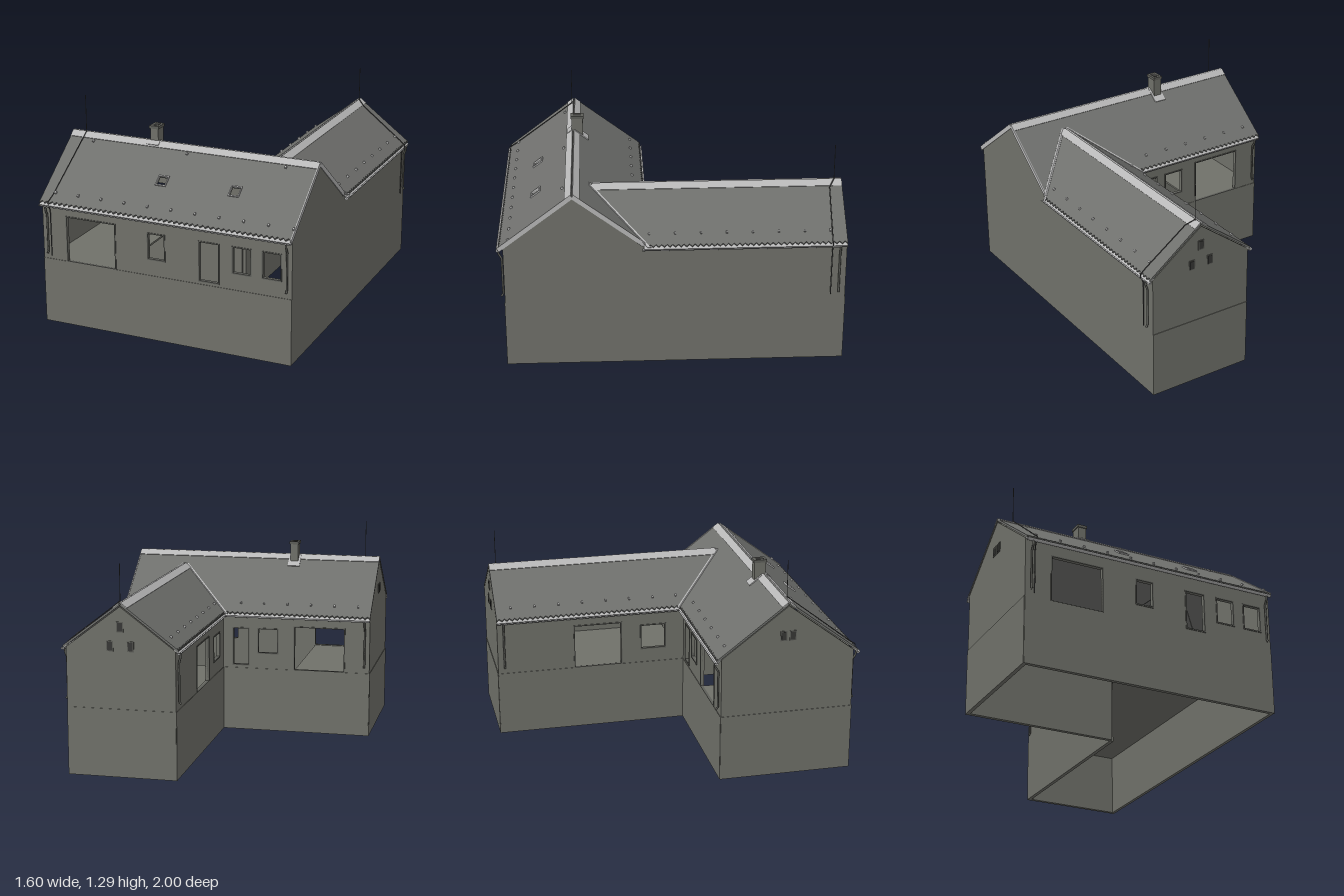
import * as THREE from 'three';

const mat = (name, color, side = THREE.FrontSide) => {
  const m = new THREE.MeshStandardMaterial({ color, side });
  m.name = name;
  return m;
};
const V = (x, y, z) => new THREE.Vector3(x, y, z);
const rect = (a, b, c, d) => [[a, b], [c, b], [c, d], [a, d]];

export function createModel() {
  const house = new THREE.Group();
  house.name = 'house';
  const wallMat = mat('wall grey', 0x70716a);
  const roofMat = mat('roof grey', 0x6f706d);
  const trimMat = mat('light metal', 0xb8b8b8, THREE.DoubleSide);
  const frameMat = mat('frame grey', 0x5e5f5a);
  const darkMat = mat('dark opening', 0x383836);
  const wireMat = mat('wire grey', 0x4a4a4a);

  const add = (name, geo, m) => {
    const mesh = new THREE.Mesh(geo, m);
    mesh.name = name;
    house.add(mesh);
    return mesh;
  };
  const box = (name, m, x0, x1, y0, y1, z0, z1) =>
    add(name, new THREE.BoxGeometry(x1 - x0, y1 - y0, z1 - z0), m)
      .position.set((x0 + x1) / 2, (y0 + y1) / 2, (z0 + z1) / 2);

  // A plane is an origin with an along direction u and an upward direction v
  const plane = (o, u, v) => {
    const k = v.length(), vn = v.clone().normalize();
    const n = u.clone().cross(vn);
    return { k, n, m: new THREE.Matrix4().makeBasis(u, vn, n).setPosition(o) };
  };
  // Flat slab on a plane: outline, holes, height above the plane, thickness
  const panel = (name, m, pl, pts, holes = [], off = 0, t = 0.012) => {
    const vec = list => list.map(([a, b]) => new THREE.Vector2(a, b * pl.k));
    const shape = new THREE.Shape(vec(pts));
    shape.holes = holes.map(h => new THREE.Path(vec(h)));
    const geo = new THREE.ExtrudeGeometry(shape, { depth: t, bevelEnabled: false });
    return add(name, geo.translate(0, 0, off).applyMatrix4(pl.m), m);
  };
  const tube = (name, m, pts, r, sides = 8) => {
    const path = new THREE.CurvePath();
    for (let i = 1; i < pts.length; i++) path.add(new THREE.LineCurve3(V(...pts[i - 1]), V(...pts[i])));
    add(name, new THREE.TubeGeometry(path, pts.length * 6, r, sides), m);
  };

  // Walls
  const T = 0.02, up = V(0, 1, 0);
  const front = plane(V(0, 0, 0.96 - T), V(1, 0, 0), up);
  const back = plane(V(0, 0, 0.17 + T), V(-1, 0, 0), up);
  const wingBack = plane(V(0, 0, -1 + T), V(-1, 0, 0), up);
  const right = plane(V(0.762 - T, 0, 0), V(0, 0, -1), up);
  const left = plane(V(-0.8 + T, 0, 0), V(0, 0, 1), up);
  const wingLeft = plane(V(0.125 + T, 0, 0), V(0, 0, 1), up);

  const wall = (name, pl, outline, a, b, openings) => {
    panel(name, wallMat, pl, outline, openings.map(o => rect(...o)), 0, T);
    panel(name + 'Plinth', wallMat, pl, rect(a, 0, b, 0.398), [], T, 0.003);
    for (const [x0, y0, x1, y1] of openings) {
      const w = 0.007;
      panel('openingFrame', frameMat, pl, rect(x0 - w, Math.max(y0 - w, 0.398), x1 + w, y1 + w),
        [rect(x0, y0 + 0.001, x1, y1)], T - 0.012, 0.016);
    }
  };
  wall('frontWall', front, rect(-0.8, 0, 0.762, 0.745), -0.8, 0.762, [
    [-0.64, 0.4, -0.33, 0.67], [-0.115, 0.5, -0.015, 0.65], [0.205, 0.42, 0.32, 0.65],
    [0.41, 0.5, 0.515, 0.65], [0.59, 0.5, 0.695, 0.65]]);
  wall('backWall', back, rect(-0.125, 0, 0.8, 0.745), -0.125, 0.8, [
    [0.33, 0.4, 0.64, 0.67], [0.1, 0.5, 0.22, 0.65], [-0.06, 0.42, 0.035, 0.65]]);
  wall('wingLeftWall', wingLeft, rect(-1, 0, 0.17, 0.74), -1, 0.17, [
    [-0.52, 0.4, -0.23, 0.67], [-0.1, 0.49, 0.05, 0.64]]);
  wall('leftGable', left, [[0.17, 0], [0.96, 0], [0.96, 0.75], [0.5625, 1.05], [0.17, 0.755]], 0.17, 0.96, []);
  wall('wingGable', wingBack,
    [[-0.762, 0], [-0.125, 0], [-0.125, 0.745], [-0.445, 0.985], [-0.762, 0.745]], -0.762, -0.125, []);
  panel('rightWall', wallMat, right,
    [[-0.96, 0], [1, 0], [1, 0.745], [-0.17, 0.745], [-0.5625, 1.05], [-0.96, 0.75]], [], 0, T);

  // Attic openings in the gables
  const attic = (pl, x, y) => {
    panel('atticFrame', frameMat, pl, rect(x - 0.02, y - 0.03, x + 0.02, y + 0.03), [], T, 0.003);
    panel('atticWindow', darkMat, pl, rect(x - 0.014, y - 0.024, x + 0.014, y + 0.024), [], T, 0.005);
  };
  [[-0.505, 0.76], [-0.385, 0.76], [-0.445, 0.87]].forEach(([x, y]) => attic(wingBack, x, y));
  [0.535, 0.59].forEach(z => attic(left, z, 0.87));

  // Floors and a low counter inside
  box('wingFloor', wallMat, 0.14, 0.745, 0.385, 0.397, -0.985, 0.17);
  box('passageFloor', wallMat, -0.785, -0.33, 0.385, 0.397, 0.185, 0.945);
  box('counter', trimMat, 0.36, 0.74, 0.4, 0.54, 0.2, 0.21);

  // Roof planes: coordinates are distance along the eave and plan distance from it
  const E = 0.738, S = 0.757, RM = 0.4225, RW = 0.336;
  const roofs = {
    front: plane(V(0, E, 0.985), V(1, 0, 0), V(0, S, -1)),
    back: plane(V(0, E, 0.14), V(-1, 0, 0), V(0, S, 1)),
    wingRight: plane(V(0.781, E, 0), V(0, 0, -1), V(-1, S, 0)),
    wingLeft: plane(V(0.109, E, 0), V(0, 0, 1), V(1, S, 0)),
  };
  // Scalloped lower tile edge
  const teeth = (a, b) => {
    const n = Math.round(Math.abs(b - a) / 0.032) * 2;
    return Array.from({ length: n + 1 }, (_, i) => [a + (b - a) * i / n, i % 2 ? 0.016 : 0.004]);
  };
  const skylights = [-0.11, 0.343].map(x => [x - 0.027, 0.19, x + 0.027, 0.235]);
  panel('frontRoof', roofMat, roofs.front, [...teeth(-0.803, 0.762), [0.762, RM], [-0.803, RM]],
    skylights.map(s => rect(...s)));
  panel('backRoof', roofMat, roofs.back,
    [...teeth(0.803, -0.109), [-0.445, RW], [-0.762, 0.02], [-0.762, RM], [0.803, RM]]);
  panel('wingRightRoof', roofMat, roofs.wingRight, [...teeth(-0.14, 1), [1, RW], [-0.476, RW]]);
  panel('wingLeftRoof', roofMat, roofs.wingLeft, [...teeth(0.14, -1), [-1, RW], [0.476, RW]]);

  // Skylight frames
  for (const [a, b, c, d] of skylights)
    panel('skylightFrame', trimMat, roofs.front, rect(a - 0.006, b - 0.006, c + 0.006, d + 0.006),
      [rect(a, b, c, d)], 0.004, 0.016);

  // Ridge caps, eave flashing and verge
  const strips = [['front', -0.803, 0.762, RM], ['back', -0.762, 0.803, RM],
    ['wingRight', -0.45, 1, RW], ['wingLeft', -1, 0.45, RW]];
  for (const [key, a, b, r] of strips)
    panel('ridgeCap', trimMat, roofs[key], rect(a, r - 0.033, b, r + 0.004), [], 0.01, 0.006);
  const eaves = [['front', -0.803, 0.762], ['back', -0.109, 0.803], ['wingRight', -0.16, 1], ['wingLeft', -1, 0.14]];
  for (const [key, a, b] of eaves)
    panel('eaveFlashing', trimMat, roofs[key], rect(a, -0.004, b, 0.024), [], -0.005, 0.006);
  panel('verge', trimMat, roofs.front, rect(0.76, 0, 0.766, RM), [], -0.01, 0.026);
  panel('verge', trimMat, roofs.back, rect(-0.766, 0.02, -0.76, RM), [], -0.01, 0.026);

  // Valley flashing where the wing meets the main roof
  const valley = (key, a, b, r0, w) => panel('valley', trimMat, roofs[key],
    [[a, r0], [b, RW], [b + w, RW], [a + w, r0]], [], 0.01, 0.004);
  valley('back', -0.109, -0.445, 0, 0.02);
  valley('back', -0.762, -0.445, 0.02, -0.02);
  valley('wingLeft', 0.14, 0.476, 0, -0.02);
  valley('wingRight', -0.14, -0.476, 0, 0.02);

  // Half-round gutters
  const gutter = (x0, z0, x1, z1) => {
    const len = Math.hypot(x1 - x0, z1 - z0);
    const g = new THREE.CylinderGeometry(0.012, 0.012, len, 10, 1, true, -Math.PI / 2, Math.PI);
    g.rotateX(Math.PI / 2);
    if (x0 !== x1) g.rotateY(Math.PI / 2);
    add('gutter', g, trimMat).position.set((x0 + x1) / 2, 0.737, (z0 + z1) / 2);
  };
  gutter(-0.803, 0.987, 0.762, 0.987);
  gutter(-0.803, 0.139, 0.109, 0.139);
  gutter(0.782, -1, 0.782, 0.17);
  gutter(0.107, -1, 0.107, 0.139);

  // Downpipes: gutter outlet, offset to the wall, drop, small kick at the foot
  const pipe = (x, z, dx, dz, d) => tube('downpipe', frameMat, [
    [x, 0.73, z], [x, 0.705, z], [x + dx * d, 0.675, z + dz * d], [x + dx * d, 0.45, z + dz * d],
    [x + dx * (d - 0.01), 0.435, z + dz * (d - 0.01)]], 0.006);
  pipe(-0.765, 0.987, 0, -1, 0.018);
  pipe(0.735, 0.987, 0, -1, 0.018);
  pipe(-0.77, 0.139, 0, 1, 0.02);
  pipe(0.782, -0.96, -1, 0, 0.011);
  pipe(0.107, -0.96, 1, 0, 0.009);

  // Snow guards in rows on the tiles
  const guard = (key, a, r) => {
    const g = new THREE.BoxGeometry(0.01, 0.014, 0.014);
    g.translate(a, r * roofs[key].k, 0.016).applyMatrix4(roofs[key].m);
    add('snowGuard', g, trimMat);
  };
  for (let i = 0; i < 11; i++) guard('front', -0.724 + i * 0.148, 0.065);
  for (const x of [-0.64, -0.03, 0.58]) guard('front', x, 0.375);
  for (let i = 0; i < 6; i++) guard('back', -0.02 + i * 0.148, 0.075);
  for (let i = 0; i < 8; i++) {
    guard('wingRight', -0.13 + i * 0.148, 0.07);
    guard('wingLeft', 0.13 - i * 0.148, 0.075);
  }

  // Chimney with rim, flue and flashing
  box('chimney', wallMat, -0.287, -0.237, 0.98, 1.15, 0.503, 0.573);
  box('chimneyRim', frameMat, -0.292, -0.232, 1.143, 1.16, 0.498, 0.578);
  box('flue', darkMat, -0.278, -0.246, 1.158, 1.162, 0.514, 0.562);
  panel('chimneyFlashing', trimMat, roofs.back, rect(0.225, 0.34, 0.3, RM), [], 0.01, 0.008);
  panel('chimneyFlashing', trimMat, roofs.front, rect(-0.3, RM - 0.025, -0.225, RM), [], 0.012, 0.008);

  // Lightning rods with their conductors
  tube('lightningRod', wireMat, [[-0.71, 1.05, 0.575], [-0.71, 1.295, 0.575]], 0.002, 6);
  tube('lightningRod', wireMat, [[0.455, 0.98, -0.955], [0.455, 1.22, -0.955]], 0.002, 6);
  tube('conductor', wireMat, [[-0.71, 1.075, 0.575], [-0.735, 0.79, 0.945], [-0.745, 0.755, 0.995],
    [-0.745, 0.7, 0.966], [-0.745, 0.42, 0.966]], 0.003, 6);
  tube('conductor', wireMat, [[0.455, 1.01, -0.955], [0.5, 0.975, -0.925], [0.76, 0.775, -0.915],
    [0.792, 0.745, -0.915], [0.768, 0.7, -0.915], [0.768, 0.42, -0.915]], 0.003, 6);
  return house;
}
